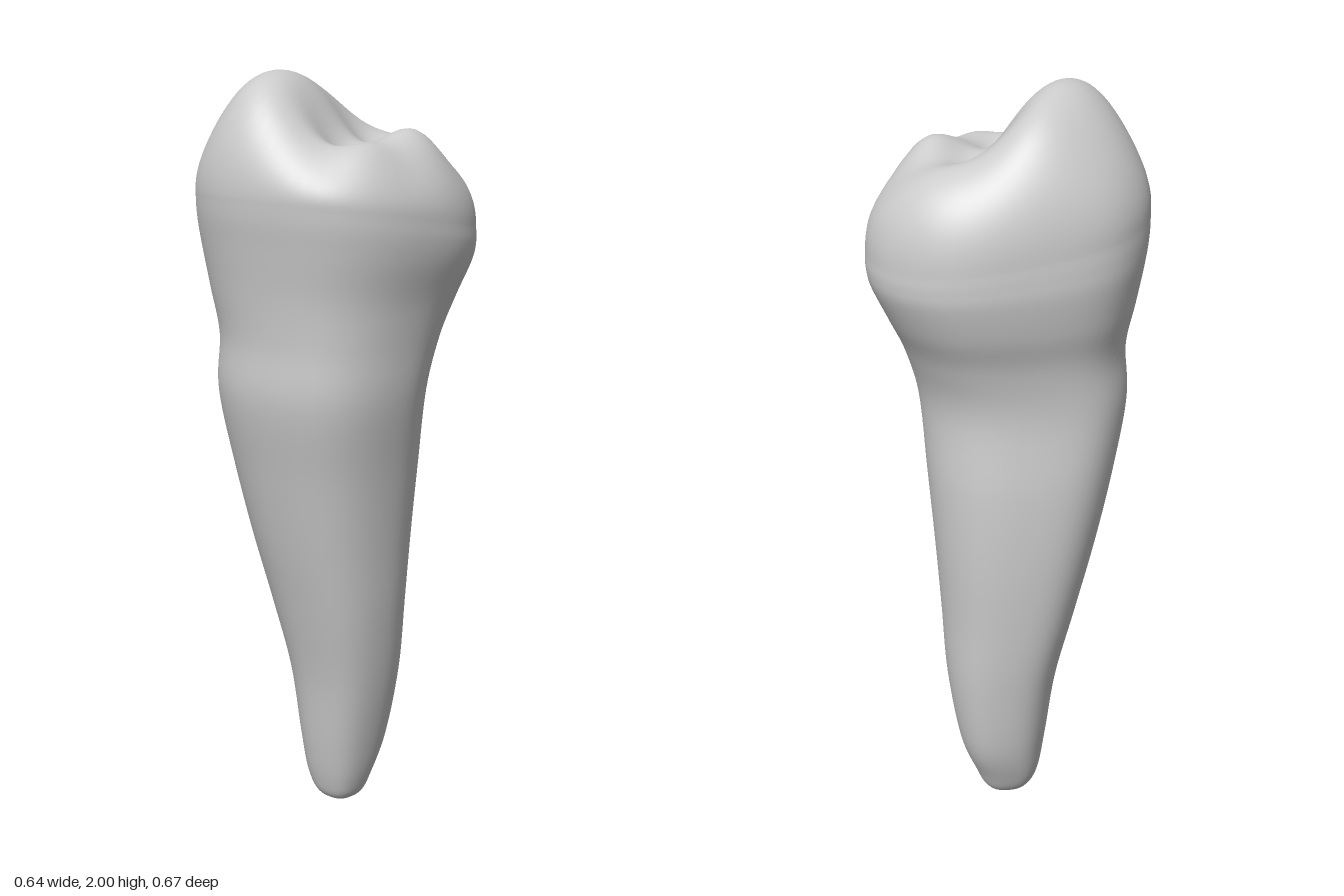
import * as THREE from 'three';

const SIDES = 64, BODY_RINGS = 78, TOP_RINGS = 28;

// Cross-sections: y, xMin, xMax, zMin, zMax, skew, tilt of the ring along z
const SECTIONS = [
  [0.00, -0.012, -0.010, -0.031, -0.029, 0, 0],
  [0.02, -0.07, 0.047, -0.088, 0.028, 0, 0],
  [0.08, -0.106, 0.076, -0.122, 0.054, -0.02, 0],
  [0.20, -0.132, 0.107, -0.172, 0.077, -0.05, 0],
  [0.40, -0.163, 0.147, -0.199, 0.105, -0.07, 0],
  [0.60, -0.205, 0.175, -0.206, 0.15, -0.06, 0],
  [0.80, -0.24, 0.195, -0.214, 0.20, 0, 0],
  [1.00, -0.265, 0.219, -0.214, 0.245, 0.07, 0],
  [1.20, -0.277, 0.25, -0.205, 0.287, 0.13, 0],
  [1.34, -0.273, 0.263, -0.243, 0.287, 0.15, 0.02],
  [1.45, -0.298, 0.28, -0.292, 0.300, 0.19, 0.06],
  [1.55, -0.317, 0.307, -0.326, 0.318, 0.22, 0.11],
  [1.61, -0.321, 0.316, -0.334, 0.330, 0.23, 0.15],
  [1.66, -0.319, 0.315, -0.333, 0.335, 0.23, 0.18],
];
const NECK = 9; // section where the root meets the crown
const RIM = SECTIONS[SECTIONS.length - 1][0];

// Cusps, ridges and grooves of the chewing surface: x, z, radius, height
const RELIEF = [
  [-0.08, 0.10, 0.22, 0.235],  // main cusp
  [-0.13, -0.09, 0.12, 0.06],  // ridge running back from it
  [0.20, -0.07, 0.10, 0.085],  // small cusp
  [0.05, -0.21, 0.14, 0.055],  // back ridge
  [0.20, 0.11, 0.09, 0.06],    // side ridge
  [-0.04, 0.31, 0.15, 0.085],  // front shoulder
  [0.10, 0.09, 0.08, -0.075],  // groove
  [0.05, -0.06, 0.09, -0.06],  // pit
];

function chewingHeight(x, z) {
  return RELIEF.reduce((y, [cx, cz, r, h]) =>
    y + h * Math.exp(-((x - cx) ** 2 + (z - cz) ** 2) / (r * r)), 1.75);
}

// Smooth curves through the section centres, radii and shear values
function curveOf(pick) {
  const points = SECTIONS.map((s) => new THREE.Vector3(...pick(s)));
  return new THREE.CatmullRomCurve3(points, false, 'catmullrom', 0.5);
}
const centres = curveOf(([y, x0, x1, z0, z1]) => [(x0 + x1) / 2, y, (z0 + z1) / 2]);
const radii = curveOf(([, x0, x1, z0, z1]) => [(x1 - x0) / 2, 0, (z1 - z0) / 2]);
const shears = curveOf((s) => [s[5], s[6], 0]);

// Skewed ellipse, fuller at the front left corner and flatter at the back right
function ringPoint(t, angle) {
  const c = centres.getPoint(t), r = radii.getPoint(t), k = shears.getPoint(t);
  const corner = 0.05 * r.x * Math.max(0, Math.sin(2 * angle)) ** 2;
  const dx = r.x * Math.cos(angle) + corner;
  const dz = r.z * Math.sin(angle - k.x * (0.8 - 0.22 * Math.sin(angle))) + corner;
  return new THREE.Vector3(c.x + dx, c.y + k.y * dz, c.z + dz);
}

export function createModel() {
  const positions = [];
  const angleAt = (j) => (j / SIDES) * Math.PI * 2;

  // Body rings from the root tip to the widest part of the crown
  for (let i = 0; i <= BODY_RINGS; i++) {
    for (let j = 0; j < SIDES; j++) positions.push(...ringPoint(i / BODY_RINGS, angleAt(j)));
  }

  // Shrinking rings that close the crown over the chewing surface
  for (let i = 1; i <= TOP_RINGS; i++) {
    const s = Math.max(Math.cos((i / TOP_RINGS) * Math.PI / 2), 0.002);
    const blend = Math.sqrt(1 - s ** 7);
    for (let j = 0; j < SIDES; j++) {
      const rim = ringPoint(1, angleAt(j));
      const x = rim.x * s, z = rim.z * s;
      const base = RIM + (rim.y - RIM) * s;
      positions.push(x, base + (chewingHeight(x, z) - base) * blend, z);
    }
  }

  // Faces between two ring numbers
  const facesBetween = (from, to) => {
    const index = [];
    for (let i = from; i < to; i++) {
      for (let j = 0; j < SIDES; j++) {
        const k = (j + 1) % SIDES;
        const a = i * SIDES + j, b = i * SIDES + k;
        index.push(a, a + SIDES, b, b, a + SIDES, b + SIDES);
      }
    }
    return index;
  };

  // Normals come from the whole surface so root and crown meet smoothly
  const last = BODY_RINGS + TOP_RINGS;
  const whole = new THREE.BufferGeometry();
  whole.setAttribute('position', new THREE.Float32BufferAttribute(positions, 3));
  whole.setIndex(facesBetween(0, last));
  whole.computeVertexNormals();

  const material = new THREE.MeshStandardMaterial({ color: 0xcccccc });
  const group = new THREE.Group();
  group.name = 'tooth';
  const neckRing = (NECK / (SECTIONS.length - 1)) * BODY_RINGS;
  for (const [name, from, to] of [['root', 0, neckRing], ['crown', neckRing, last]]) {
    const part = whole.clone();
    part.setIndex(facesBetween(from, to));
    const mesh = new THREE.Mesh(part, material);
    mesh.name = name;
    group.add(mesh);
  }
  return group;
}
